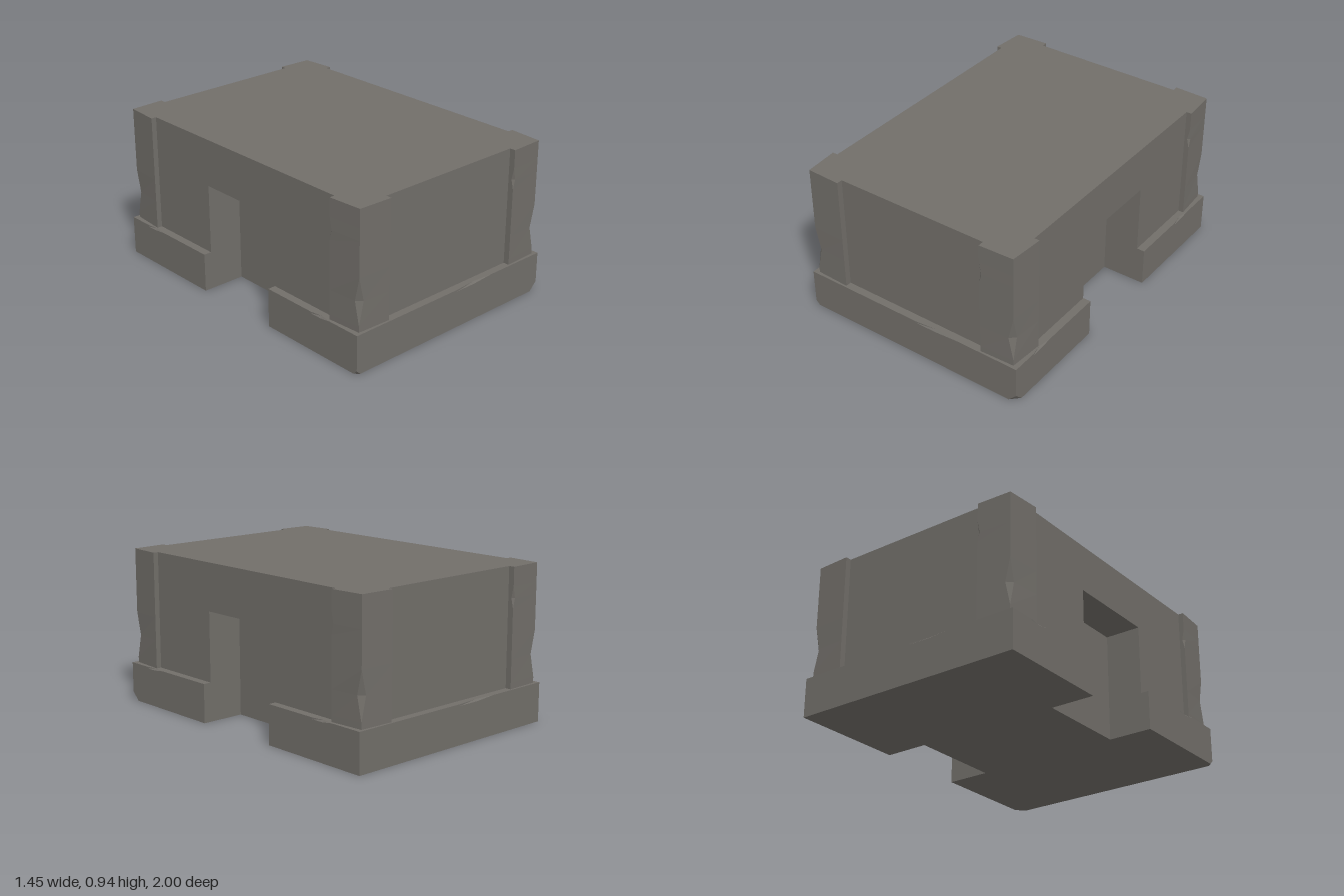
import * as THREE from 'three';

// Closed solid lofted through plan rings of [x, z] points, one ring per height
function loft(heights, ringAt) {
  let rings = heights.map(ringAt).map(r => r.map(([x, z]) => new THREE.Vector2(x, -z)));
  if (THREE.ShapeUtils.area(rings[0]) < 0) rings = rings.map(r => r.reverse());
  const n = rings[0].length, pos = [];
  const put = (level, i) => pos.push(rings[level][i].x, heights[level], -rings[level][i].y);
  for (let l = 0; l < heights.length - 1; l++) {
    for (let i = 0; i < n; i++) {
      const j = (i + 1) % n;
      put(l, i); put(l, j); put(l + 1, j);
      put(l, i); put(l + 1, j); put(l + 1, i);
    }
  }
  for (const [level, up] of [[0, false], [heights.length - 1, true]]) {
    const ring = rings[level];
    for (const [a, b, c] of THREE.ShapeUtils.triangulateShape(ring.slice(), [])) {
      const ccw = THREE.ShapeUtils.area([ring[a], ring[b], ring[c]]) > 0;
      for (const i of ccw === up ? [a, b, c] : [a, c, b]) put(level, i);
    }
  }
  const geo = new THREE.BufferGeometry();
  geo.setAttribute('position', new THREE.Float32BufferAttribute(pos, 3));
  geo.computeVertexNormals();
  return geo;
}

export function createModel() {
  const group = new THREE.Group();
  const stone = new THREE.MeshStandardMaterial({ color: 0x716e69, flatShading: true });
  stone.name = 'grey stone';
  const add = (name, geo) => {
    const mesh = new THREE.Mesh(geo, stone);
    mesh.name = name;
    group.add(mesh);
    return mesh;
  };
  const BASE = 0.235, DOOR = 0.655, TOP = 0.94, GAP = 0.288, INNER = 0.455;

  // Main block, with a doorway recess on each long side
  const hPlan = (x, z) => [
    [x, z], [x, GAP], [INNER, GAP], [INNER, -GAP], [x, -GAP], [x, -z],
    [-x, -z], [-x, -GAP], [-INNER, -GAP], [-INNER, GAP], [-x, GAP], [-x, z],
  ];
  add('lowerWalls', loft([BASE, DOOR], () => hPlan(0.675, 0.952)));
  add('upperWalls', loft([DOOR, TOP], () => [[0.675, 0.952], [0.675, -0.952], [-0.675, -0.952], [-0.675, 0.952]]));

  // Plinth with broken front corners and worn top edges
  const X = 0.724, Z = 1;
  add('plinth', loft([0, 0.025, 0.05, 0.225, BASE], y => {
    const big = Math.max(0, 0.05 - y), small = Math.max(0, 0.025 - y);
    const wear = y === BASE ? 0.012 : 0;
    const half = [
      [X, 0.84], [X - wear, 0.77], [X, 0.69], [X, GAP], [INNER, GAP],
      [INNER, -GAP], [X, -GAP], [X, -0.64], [X - wear, -0.72], [X, -0.79], [X, -Z],
    ];
    const turned = half.map(([x, z]) => [-x, -z]);
    return [
      [X - big, Z], [X, Z - big], ...half,
      [-0.04, -Z], [-0.18, -Z + wear], [-0.32, -Z], [-X, -Z],
      ...turned.slice(0, -1), [-X, Z - small], [-X + small, Z],
      [0.04, Z], [0.18, Z - wear], [0.32, Z],
    ];
  }));

  // Corner piers: a chipped corner and one small nick on an end edge
  for (const sx of [1, -1]) {
    for (const sz of [1, -1]) {
      const frontNick = sx * sz > 0;
      const pier = loft([BASE, 0.27, 0.41, 0.55, 0.7, 0.76, 0.83, TOP], y => {
        const chip = y === 0.41 ? 0.032 : 0;
        const nick = y === 0.76 ? 0.014 : 0;
        const f = frontNick ? nick : 0, s = frontNick ? 0 : nick;
        return [
          [0.48, 0.945], [0.48, 0.988 - f], [0.48 + f, 0.988],
          [0.692 - chip, 0.98], [0.692, 0.98 - chip],
          [0.707, 0.772 + s], [0.707 - s, 0.772], [0.668, 0.772], [0.668, 0.945],
        ].map(([x, z]) => [x * sx, z * sz]);
      });
      add((sz > 0 ? 'front' : 'back') + (sx > 0 ? 'Left' : 'Right') + 'Pier', pier);
    }
  }
  return group;
}
